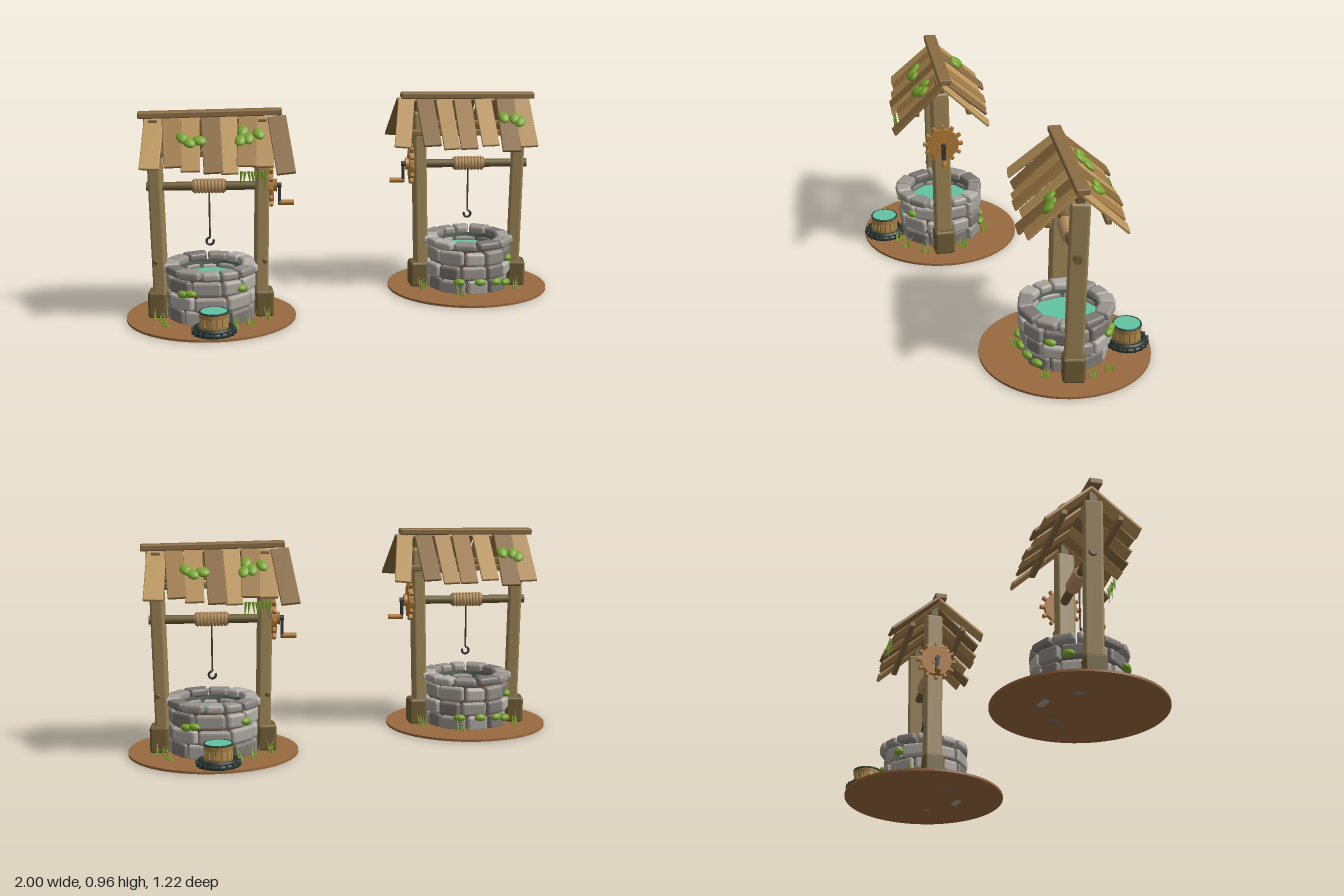
import * as THREE from 'three';
import { RoundedBoxGeometry } from 'three/addons/geometries/RoundedBoxGeometry.js';

const mats = {};
const mat = (color) => (mats[color] ??= new THREE.MeshStandardMaterial({ color, side: THREE.DoubleSide }));

function add(parent, name, geo, color, pos = [0, 0, 0], rot = [0, 0, 0], scale = [1, 1, 1]) {
  const m = new THREE.Mesh(geo, mat(color));
  m.name = name;
  m.position.set(...pos);
  m.rotation.set(...rot);
  m.scale.set(...scale);
  parent.add(m);
  return m;
}

function group(parent, name) {
  const g = new THREE.Group();
  g.name = name;
  parent.add(g);
  return g;
}

const cyl = (r1, r2, h, n = 16, open = false) => new THREE.CylinderGeometry(r1, r2, h, n, 1, open);
const box = (w, h, d, r = 0.006) => new RoundedBoxGeometry(w, h, d, 2, r);
const ball = new THREE.SphereGeometry(1, 12, 8);
const blade = new THREE.ConeGeometry(0.007, 1, 4);
blade.translate(0, 0.5, 0);
const WOOD = 0x9a8355, DARK_WOOD = 0x6e5c34, BEAM = 0x8a6c42, METAL = 0x35373a;
const BRASS = 0xb27a36, WATER = 0x62c4a2, MOSS = 0x78a32c, GRASS = 0x8aa838;
const STONES = [0x8e8a85, 0xa6a29b, 0x7b7672, 0xb2aea8, 0x98938c];
const PLANKS = [0xba945a, 0x9c7744, 0xb08a52, 0x86673a];

function seeded(seed) {
  return () => (seed = (seed * 16807) % 2147483647) / 2147483647;
}

// A rounded stone wrapped around the shaft between two radii
function stoneGeometry(inner, outer, height, arc) {
  const mid = (inner + outer) / 2;
  const g = new RoundedBoxGeometry(arc * mid, height, outer - inner, 2, 0.014);
  const p = g.attributes.position;
  for (let i = 0; i < p.count; i++) {
    const a = p.getX(i) / mid, r = mid + p.getZ(i);
    p.setXYZ(i, r * Math.sin(a), p.getY(i), r * Math.cos(a));
  }
  g.computeVertexNormals();
  return g;
}

function buildShaft(well, rnd) {
  const shaft = group(well, 'stoneShaft');
  // y, height, outer radius, stone count
  const courses = [[0.04, 0.075, 0.2, 10], [0.112, 0.066, 0.205, 10], [0.184, 0.068, 0.208, 10], [0.245, 0.04, 0.216, 12]];
  courses.forEach(([y, h, r, n], k) => {
    const widths = Array.from({ length: n }, () => 0.75 + rnd() * 0.5);
    const total = widths.reduce((a, b) => a + b);
    let angle = k * 0.4;
    widths.forEach((w, i) => {
      const arc = (w / total) * Math.PI * 2;
      const geo = stoneGeometry(0.145, r + (rnd() - 0.5) * 0.016, h * (0.92 + rnd() * 0.1), arc - 0.035);
      add(shaft, 'stone', geo, STONES[(i * 2 + k + Math.floor(rnd() * 2)) % 5], [0, y, 0],
        [(rnd() - 0.5) * 0.02, angle + arc / 2, (rnd() - 0.5) * 0.02]);
      angle += arc;
    });
  });
  add(shaft, 'mortar', cyl(0.18, 0.18, 0.21, 32, true), 0x6b5240, [0, 0.12, 0]);
  add(shaft, 'innerWall', cyl(0.15, 0.15, 0.22, 32, true), 0x5d6a60, [0, 0.125, 0]);
  add(shaft, 'water', cyl(0.152, 0.152, 0.01, 32), WATER, [0, 0.19, 0]);
}

function buildFrame(well) {
  const frame = group(well, 'frame');
  for (const s of [-1, 1]) {
    add(frame, 'postBase', box(0.085, 0.125, 0.1, 0.014), DARK_WOOD, [s * 0.24, 0.072, 0], [0, s * 0.08, 0]);
    add(frame, 'post', box(0.06, 0.86, 0.085, 0.012), WOOD, [s * 0.233, 0.44, 0.006], [0.016, s * 0.12, -s * 0.022]);
    add(frame, 'postPeg', box(0.04, 0.07, 0.04), DARK_WOOD, [s * 0.242, 0.885, 0.01]);
    add(frame, 'knot', ball, DARK_WOOD, [s * 0.245, 0.275, 0.04], [0, 0, 0], [0.014, 0.014, 0.01]);
  }
}

function buildWindlass(well) {
  const winch = group(well, 'windlass');
  const along = [0, 0, Math.PI / 2], y = 0.615;
  add(winch, 'axle', cyl(0.02, 0.02, 0.58), DARK_WOOD, [0.01, y, 0], along);
  add(winch, 'drum', cyl(0.027, 0.027, 0.15), BEAM, [0, y, 0], along);
  for (let i = 0; i < 9; i++) {
    add(winch, 'ropeCoil', new THREE.TorusGeometry(0.026, 0.0085, 6, 20), 0xb48d5c, [-0.062 + i * 0.0155, y, 0], [0, Math.PI / 2, 0]);
  }
  add(winch, 'rope', cyl(0.004, 0.004, 0.225, 8), 0x4a4038, [0, 0.49, 0.012]);
  add(winch, 'hook', new THREE.TorusGeometry(0.016, 0.0055, 8, 20, 5), METAL, [0, 0.362, 0.012], [0, 0, 1.7]);

  // Toothed wheel and crank
  add(winch, 'wheel', cyl(0.075, 0.075, 0.022, 32), BRASS, [0.278, y, 0], along);
  add(winch, 'wheelHub', cyl(0.025, 0.03, 0.02, 20), BRASS, [0.295, y, 0], along);
  for (let i = 0; i < 12; i++) {
    const a = (i / 12) * Math.PI * 2;
    add(winch, 'tooth', box(0.018, 0.026, 0.017, 0.004), BRASS,
      [0.278, y + 0.084 * Math.cos(a), 0.084 * Math.sin(a)], [a, 0, 0]);
  }
  add(winch, 'crankShaft', cyl(0.012, 0.012, 0.05), METAL, [0.3, y, 0], along);
  add(winch, 'crankArm', box(0.014, 0.1, 0.02, 0.004), METAL, [0.315, 0.575, 0]);
  add(winch, 'crankHandle', cyl(0.012, 0.012, 0.068), BRASS, [0.346, 0.535, 0], along);
}

function buildRoof(well, rnd) {
  const roof = group(well, 'roof');
  add(roof, 'ridgeBeam', box(0.64, 0.028, 0.06), BEAM, [0.01, 0.945, 0], [0, 0.035, 0.012]);
  // Plank centres along x, and moss as x and distance down the slope
  const sides = [
    { s: 1, xs: [-0.245, -0.155, -0.075, 0.02, 0.095, 0.175, 0.25, 0.325],
      moss: [[-0.11, 0.125], [-0.035, 0.14], [-0.08, 0.15], [0.155, 0.09], [0.18, 0.13], [0.225, 0.105], [0.145, 0.14]] },
    { s: -1, xs: [-0.25, -0.17, -0.07, 0.03, 0.115, 0.205, 0.32], moss: [[-0.15, 0.125], [-0.2, 0.13], [-0.225, 0.15]] },
  ];
  for (const { s, xs, moss } of sides) {
    const slope = group(roof, s > 0 ? 'frontSlope' : 'backSlope');
    slope.position.y = 0.925;
    slope.rotation.order = 'YXZ';
    slope.rotation.set(0.73, s > 0 ? 0 : Math.PI, 0);
    xs.forEach((x, i) => {
      const len = 0.275 + rnd() * 0.045, last = i === xs.length - 1;
      const yaw = last ? 0.12 : (rnd() - 0.5) * 0.14;
      add(slope, 'plank', box(0.074 + rnd() * 0.014, 0.014, len, 0.004), PLANKS[(i + (s > 0 ? 0 : 2)) % 4],
        [s * x, (i % 2) * 0.004, len / 2], [(rnd() - 0.5) * 0.02, s * yaw, 0]);
    });
    for (const [x, d] of moss) {
      add(slope, 'roofMoss', ball, MOSS, [s * x, 0.015, d], [0, x * 9, 0], [0.033, 0.014, 0.025]);
    }
    add(roof, 'purlin', box(0.59, 0.028, 0.028), BEAM, [0.015, 0.787, s * 0.125]);
  }
  // Leaves hanging from the front eave
  for (let i = 0; i < 8; i++) {
    add(roof, 'hangingLeaf', blade, MOSS, [0.15 + i * 0.015, 0.725, 0.218 + (i % 2) * 0.008],
      [Math.PI, 0, (rnd() - 0.5) * 0.4], [1, 0.04 + rnd() * 0.04, 0.6]);
  }
}

function buildBucket(well) {
  const bucket = group(well, 'bucket');
  bucket.position.set(0.02, 0, 0.285);
  // Coiled rope the bucket stands in
  for (const [R, y] of [[0.085, 0.024], [0.078, 0.037]]) {
    add(bucket, 'coil', new THREE.TorusGeometry(R, 0.012, 8, 36), 0x26332e, [0, y, 0], [Math.PI / 2, 0, 0]);
  }
  for (let i = 0; i < 18; i++) {
    const a = (i / 18) * Math.PI * 2;
    add(bucket, 'coilStrand', box(0.008, 0.026, 0.028, 0.003), 0x2f3d37, [0.087 * Math.sin(a), 0.028, 0.087 * Math.cos(a)], [0, a + 0.4, 0]);
  }
  add(bucket, 'bucketBody', cyl(0.061, 0.056, 0.09, 24), 0x5f4727, [0, 0.066, 0]);
  for (let i = 0; i < 14; i++) {
    const a = (i / 14) * Math.PI * 2;
    add(bucket, 'stave', box(0.024, 0.092, 0.01, 0.003), 0xb08c4e, [0.057 * Math.sin(a), 0.066, 0.057 * Math.cos(a)], [0, a, 0]);
  }
  for (const y of [0.048, 0.098]) add(bucket, 'hoop', cyl(0.066, 0.065, 0.014, 28, true), 0xa47c3e, [0, y, 0]);
  add(bucket, 'bucketRim', new THREE.TorusGeometry(0.062, 0.005, 6, 28), 0x2d4a42, [0, 0.113, 0], [Math.PI / 2, 0, 0]);
  add(bucket, 'bucketWater', cyl(0.059, 0.059, 0.006, 28), WATER, [0, 0.113, 0]);
}

function buildPlants(well, rnd) {
  const plants = group(well, 'plants');
  // Moss pads on the wall: x, y, z
  const pads = [[-0.085, 0.165, 0.19], [0.145, 0.178, 0.15], [0.06, 0.075, -0.2], [-0.04, 0.075, -0.205],
    [-0.12, 0.072, -0.185], [-0.17, 0.06, -0.15], [-0.185, 0.168, -0.095], [-0.12, 0.16, 0.175]];
  for (const [x, y, z] of pads) {
    add(plants, 'wallMoss', ball, MOSS, [x, y, z], [0, Math.atan2(x, z), 0], [0.029, 0.017, 0.018]);
  }
  const tufts = [[-0.2, 0.17], [0.18, 0.18], [0.26, 0.09], [0.22, -0.1], [-0.22, -0.12], [0.05, -0.225], [-0.24, 0.08], [0.11, 0.22]];
  for (const [x, z] of tufts) {
    for (let i = 0; i < 5; i++) {
      add(plants, 'grassBlade', blade, GRASS, [x + (rnd() - 0.5) * 0.035, 0.012, z + (rnd() - 0.5) * 0.035],
        [(rnd() - 0.5) * 0.7, rnd() * 3, (rnd() - 0.5) * 0.7], [1, 0.04 + rnd() * 0.045, 0.7]);
    }
  }
}

function buildWell(name) {
  const well = new THREE.Group();
  well.name = name;
  const rnd = seeded(4217);
  add(well, 'ground', cyl(0.385, 0.385, 0.011, 64), 0x99693f, [0, 0.0085, 0]);
  buildShaft(well, rnd);
  buildFrame(well);
  buildWindlass(well);
  buildRoof(well, rnd);
  buildBucket(well);
  buildPlants(well, rnd);
  return well;
}

export function createModel() {
  const model = new THREE.Group();
  model.name = 'twoWells';
  // The second well is the first turned half a circle about the centre
  for (const s of [1, -1]) {
    const well = buildWell(s > 0 ? 'rightWell' : 'leftWell');
    well.position.set(-0.615 * s, 0, 0.225 * s);
    well.rotation.y = s > 0 ? 0 : Math.PI;
    model.add(well);
  }
  return model;
}
